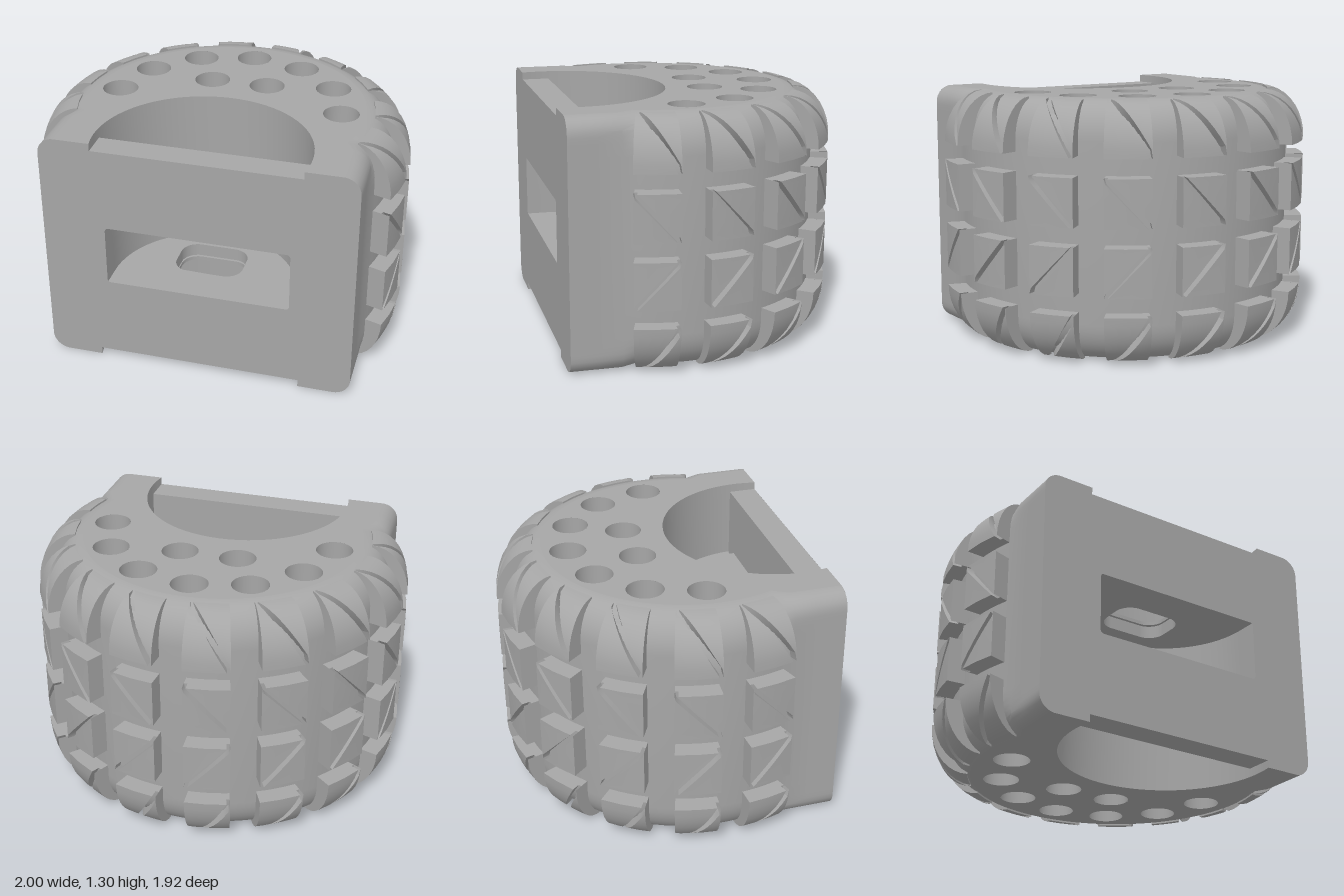
import * as THREE from 'three';
import { toCreasedNormals, mergeGeometries } from 'three/addons/utils/BufferGeometryUtils.js';

const H = 1.305, RAD = Math.PI / 180;
const FRONT = 0.598, HALF = 0.826;            // flat front face: depth and half width
const PZ = 0.48, PR = 0.56, CR = 0.49;        // pocket centre, pocket radius, chamber radius
const LIP = 0.45, NOTCH = 0.04;               // front lip back face, lip drop

// Skin through cross-section loops of equal length
function loft(loops, { closed = false, caps = false, flip = false } = {}) {
  const n = loops[0].length, index = [];
  const tri = (a, b, c) => flip ? index.push(a, c, b) : index.push(a, b, c);
  for (let i = 0; i < loops.length - 1; i++)
    for (let j = 0; j < (closed ? n : n - 1); j++) {
      const k = (j + 1) % n, p = i * n, q = p + n;
      tri(p + j, p + k, q + k);
      tri(p + j, q + k, q + j);
    }
  if (caps) {
    const top = (loops.length - 1) * n;
    for (let j = 1; j < n - 1; j++) {
      tri(0, j + 1, j);
      tri(top, top + j, top + j + 1);
    }
  }
  const g = new THREE.BufferGeometry();
  g.setAttribute('position', new THREE.Float32BufferAttribute(loops.flat(2), 3));
  g.setIndex(index);
  return toCreasedNormals(g, 0.6);
}

// Arc of a D shape, open to the front; points are [x, z]
function dArc(r, front, n = 40) {
  const pts = [];
  const a0 = r === CR ? 0 : Math.asin((front - PZ) / r);
  for (let i = 0; i <= n; i++) {
    const a = a0 - (Math.PI + 2 * a0) * i / n;
    pts.push([r * Math.cos(a), PZ + r * Math.sin(a)]);
  }
  if (r === CR) { pts.unshift([r, front]); pts.push([-r, front]); }
  return pts;
}

const planShape = pts => new THREE.Shape(pts.map(([x, z]) => new THREE.Vector2(x, -z)));

function roundedRect(path, x0, y0, x1, y1, r) {
  path.moveTo(x0 + r, y0).lineTo(x1 - r, y0);
  path.absarc(x1 - r, y0 + r, r, -Math.PI / 2, 0);
  path.absarc(x1 - r, y1 - r, r, 0, Math.PI / 2);
  path.absarc(x0 + r, y1 - r, r, Math.PI / 2, Math.PI);
  path.absarc(x0 + r, y0 + r, r, Math.PI, Math.PI * 1.5);
  return path;
}

// Body outline for a tyre radius and a plate half width
function outline(R, w) {
  const pts = [[w, FRONT], [w, 0.45], [w, 0.33]];
  const a0 = 90 * RAD + Math.asin(0.25 / R);
  for (let i = 0; i <= 64; i++) {
    const a = a0 * (1 - i / 32);
    pts.push([R * Math.sin(a), -R * Math.cos(a)]);
  }
  pts.push([-w, 0.33], [-w, 0.45], [-w, FRONT]);
  return pts;
}

function bodyLevels() {
  const upper = [];
  for (let t = 0; t <= 90; t += 10) {
    const y = H - 0.2 + 0.2 * Math.sin(t * RAD);
    const d = Math.max(0, y - (H - 0.09));
    const w = HALF - 0.09 + Math.sqrt(Math.max(0, 0.0081 - d * d));
    upper.push({ y, o: outline(0.885 - 0.15 * (1 - Math.cos(t * RAD)), w) });
  }
  const lower = upper.map(l => ({ y: H - l.y, o: l.o })).reverse();
  return [...lower, ...upper];
}

// One piece of a tread block between two angle rules, in a band of the tyre profile
function treadPiece(profile, d, left, right, mirror) {
  const loops = [], n = 9;
  for (let i = 0; i <= n; i++) {
    const s = i / n, a = left(s), b = right(s);
    const at = (ang, depth) => {
      const [r, y] = profile(s, depth);
      return [r * Math.sin(ang), mirror ? H - y : y, -r * Math.cos(ang)];
    };
    loops.push([at(a, 0.14), at(a, d), at((a + b) / 2, d), at(b, d), at(b, 0.14)]);
  }
  return loft(loops, { closed: true, caps: true, flip: !mirror });
}

// A column of four blocks, each cut by a diagonal groove
function treadColumn() {
  const w = 6.85 * RAD, g = 1.1 * RAD, parts = [];
  const clamp = v => Math.min(w, Math.max(-w, v));
  const side = (s, d) => [0.98 - d, 0.70 + 0.245 * s];
  const shoulder = (s, d) => {
    const t = s * Math.PI / 2;
    return [0.78 + (0.2 - d) * Math.cos(t), 1.04 + (0.265 - d) * Math.sin(t)];
  };
  for (const profile of [side, shoulder])
    for (const mirror of [false, true]) {
      const diag = s => w * (2 * s - 1);
      parts.push(
        treadPiece(profile, 0.045, () => -w, () => w, mirror),
        treadPiece(profile, 0, () => -w, s => clamp(diag(s) - g), mirror),
        treadPiece(profile, 0, s => clamp(diag(s) + g), () => w, mirror));
    }
  return mergeGeometries(parts);
}

export function createModel() {
  const grey = new THREE.MeshStandardMaterial({ color: 0xa6a6a6, side: THREE.DoubleSide });
  grey.name = 'grey';
  const model = new THREE.Group();
  model.name = 'halfTyreHolder';
  const body = new THREE.Group();
  body.name = 'turnedBody';
  body.rotation.y = 31.4 * RAD;
  body.position.set(-0.016, 0, 0.01);
  model.add(body);
  const add = (name, geo, x = 0, y = 0, z = 0) => {
    const m = new THREE.Mesh(geo, grey);
    m.name = name;
    m.position.set(x, y, z);
    body.add(m);
    return m;
  };

  // Tyre carcass with the front plate
  const levels = bodyLevels();
  add('carcass', loft(levels.map(l => l.o.map(([x, z]) => [x, l.y, z]))));

  // Bore positions: seven around the rim, two inside
  const bores = [];
  for (let k = -3; k <= 3; k++) bores.push({ a: k * 28.5 * RAD, r: 0.605, blind: k % 2 === 0 });
  for (const s of [-1, 1]) bores.push({ a: s * 29 * RAD, r: 0.315, blind: false });
  for (const b of bores) { b.x = b.r * Math.sin(b.a); b.z = -b.r * Math.cos(b.a); }

  // Top and bottom faces, open at the pocket and the bores
  const rim = planShape([...levels.at(-1).o, ...dArc(PR, FRONT).reverse()]);
  for (const b of bores) rim.holes.push(new THREE.Path().absarc(b.x, -b.z, 0.095, 0, Math.PI * 2, true));
  const cap = new THREE.ShapeGeometry(rim, 24).rotateX(-Math.PI / 2);
  add('topFace', cap, 0, H);
  add('bottomFace', cap, 0, 0);

  // Bore walls and the rounded stops in the blind ones
  const boreWall = new THREE.CylinderGeometry(0.095, 0.095, H, 32, 1, true);
  const stop = toCreasedNormals(new THREE.LatheGeometry(
    [[0, 0.42], [0.055, 0.42], [0.095, 0.36], [0.095, 0.945], [0.055, 0.885], [0, 0.885]]
      .map(p => new THREE.Vector2(...p)), 32), 0.5);
  for (const b of bores) {
    add('bore', boreWall, b.x, H / 2, b.z);
    if (b.blind) add('boreStop', stop, b.x, 0, b.z);
  }

  // Front face with window and notched edges
  const face = new THREE.Shape();
  const nw = Math.sqrt(PR * PR - (FRONT - PZ) ** 2), c = 0.09;
  face.moveTo(-HALF + c, 0).lineTo(-nw, 0).lineTo(-nw, NOTCH).lineTo(nw, NOTCH).lineTo(nw, 0);
  face.lineTo(HALF - c, 0).absarc(HALF - c, c, c, -Math.PI / 2, 0);
  face.absarc(HALF - c, H - c, c, 0, Math.PI / 2);
  face.lineTo(nw, H).lineTo(nw, H - NOTCH).lineTo(-nw, H - NOTCH).lineTo(-nw, H);
  face.absarc(-HALF + c, H - c, c, Math.PI / 2, Math.PI);
  face.absarc(-HALF + c, c, c, Math.PI, Math.PI * 1.5);
  face.holes.push(roundedRect(new THREE.Path(), -CR, 0.485, CR, 0.82, 0.02));
  add('frontFace', new THREE.ShapeGeometry(face, 8), 0, 0, FRONT);

  // Chamber behind the window
  const chamber = dArc(CR, FRONT);
  add('chamberWall', loft([0.485, 0.82].map(y => chamber.map(([x, z]) => [x, y, z]))));

  // Pockets above and below: wall, floor with slot, raised floor plate, front lip
  const wall = dArc(PR, FRONT);
  const slot = () => roundedRect(new THREE.Path(), -0.2, -0.39, 0.17, -0.12, 0.09);
  const slab = (arc, depth) => {
    const s = planShape(arc);
    s.holes.push(slot());
    return new THREE.ExtrudeGeometry(s, { depth, bevelEnabled: false, curveSegments: 8 }).rotateX(-Math.PI / 2);
  };
  const floor = slab(dArc(PR, FRONT - 0.002), 0.06);
  const plate = slab(dArc(0.5, LIP), 0.02);
  const bevel = [[0.5, 0], [0.455, 0.04]];
  const plateTop = slab(dArc(0.455, LIP), 0.02);
  for (const up of [true, false]) {
    const Y = y => up ? y : H - y;
    add('pocketWall', loft([Y(0.84), Y(H)].map(y => wall.map(([x, z]) => [x, y, z]))));
    add('pocketFloor', floor, 0, up ? 0.82 : 0.425);
    add('floorPlate', plate, 0, up ? 0.87 : H - 0.89);
    add('floorPlateTop', plateTop, 0, up ? 0.9 : H - 0.92);
    add('floorPlateEdge', loft(bevel.map(([r, h]) => dArc(r, LIP).map(([x, z]) => [x, Y(0.88 + h), z]))));
    const h = H - NOTCH - 0.83;
    add('frontLip', new THREE.BoxGeometry(nw * 2, h, FRONT - LIP - 0.001), 0, Y(0.83 + h / 2), (FRONT + LIP) / 2);
  }

  // Ten tread columns around the tyre
  const column = treadColumn();
  for (let k = 0; k < 10; k++)
    add('treadColumn', column).rotation.y = (k - 4.5) * 22.5 * RAD;

  return model;
}
